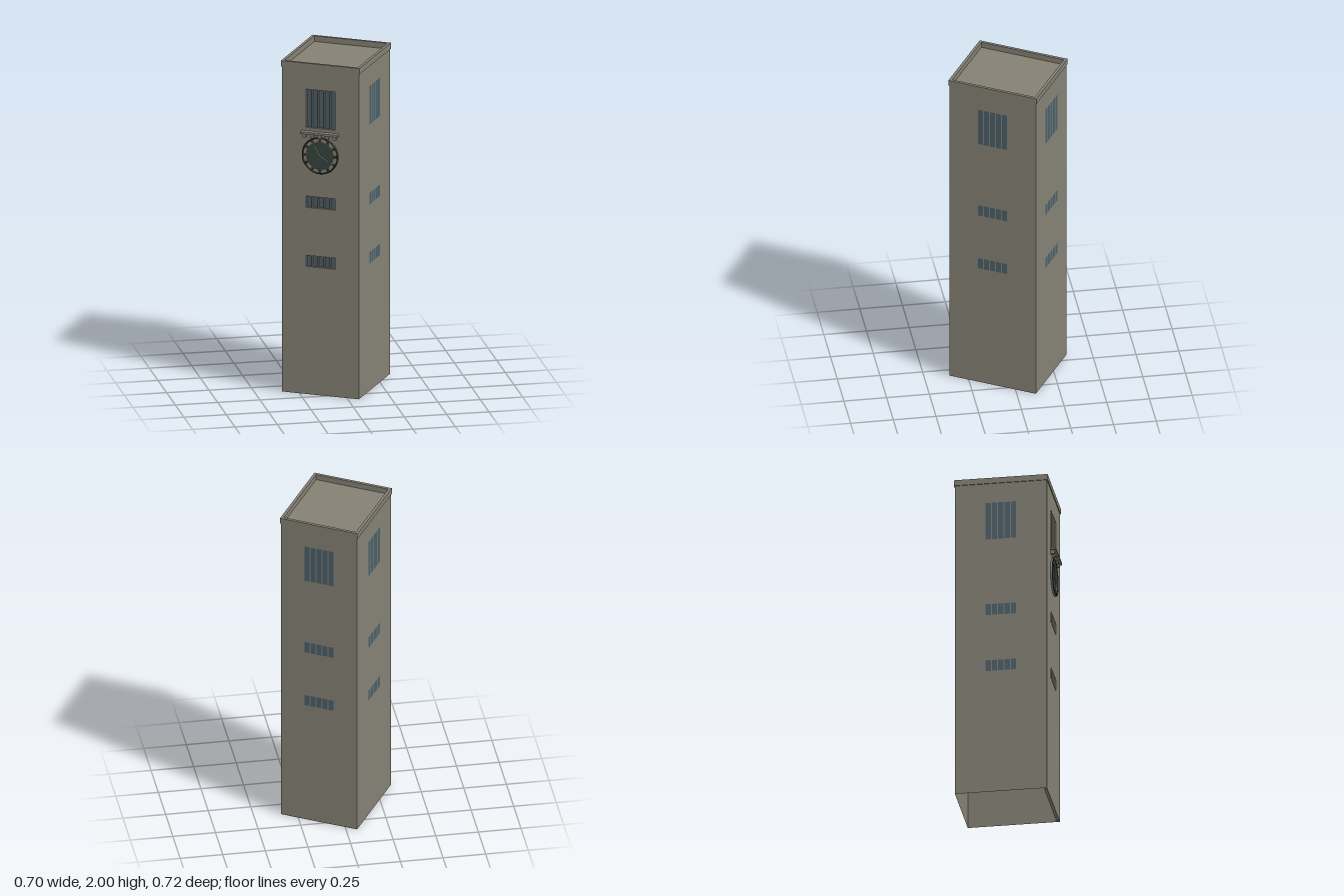
import * as THREE from 'three';

const W = 0.472, D = 0.539, H = 1.965; // tower body
const ROWS = [[1.61, 1.842], [1.127, 1.196], [0.77, 0.838]]; // window bands, bottom and top
const SLIT = 0.031, PITCH = 0.0373;

const stone = new THREE.MeshStandardMaterial({ name: 'stone', color: 0x858174, side: THREE.DoubleSide });
const glass = new THREE.MeshStandardMaterial({ name: 'blueGlass', color: 0x4a6069, side: THREE.DoubleSide });
const dialGreen = new THREE.MeshStandardMaterial({ name: 'dialGreen', color: 0x35443f });
const dark = new THREE.MeshStandardMaterial({ name: 'darkMetal', color: 0x33322d });

function add(parent, name, geometry, material, x = 0, y = 0, z = 0) {
  const mesh = new THREE.Mesh(geometry, material);
  mesh.name = name;
  mesh.position.set(x, y, z);
  parent.add(mesh);
  return mesh;
}

const box = (w, h, d) => new THREE.BoxGeometry(w, h, d);

function rectangle(Kind, x0, y0, x1, y1) {
  const r = new Kind();
  r.moveTo(x0, y0).lineTo(x1, y0).lineTo(x1, y1).lineTo(x0, y1).closePath();
  return r;
}

// Calls fn for each of the five slits in each band
function eachSlit(fn) {
  for (const [y0, y1] of ROWS)
    for (let i = -2; i <= 2; i++) fn(i * PITCH, y0, y1);
}

function addWindows(wall, z) {
  eachSlit((x, y0, y1) =>
    add(wall, 'windowSlit', new THREE.PlaneGeometry(SLIT, y1 - y0), glass, x, (y0 + y1) / 2, z));
}

// Wall with flush windows; the group faces its local +z
function plainWall(name, width, distance, angle) {
  const wall = new THREE.Group();
  wall.name = name;
  wall.rotation.y = angle;
  add(wall, 'wallFace', new THREE.PlaneGeometry(width, H), stone, 0, H / 2, distance);
  addWindows(wall, distance + 0.002);
  return wall;
}

// Front wall with recessed windows
function frontWall() {
  const depth = 0.018;
  const wall = new THREE.Group();
  wall.name = 'frontWall';
  const shape = rectangle(THREE.Shape, -W / 2, 0, W / 2, H);
  eachSlit((x, y0, y1) =>
    shape.holes.push(rectangle(THREE.Path, x - SLIT / 2, y0, x + SLIT / 2, y1)));
  add(wall, 'wallFace', new THREE.ExtrudeGeometry(shape, { depth, bevelEnabled: false }),
    stone, 0, 0, D / 2 - depth);
  addWindows(wall, D / 2 - depth + 0.001);
  return wall;
}

function clock() {
  const g = new THREE.Group();
  g.name = 'clock';
  g.position.set(0, 1.45, D / 2);
  // Stone bezel ring
  const ring = new THREE.Shape().absarc(0, 0, 0.11, 0, Math.PI * 2);
  ring.holes.push(new THREE.Path().absarc(0, 0, 0.084, 0, Math.PI * 2, true));
  add(g, 'bezel', new THREE.ExtrudeGeometry(ring, { depth: 0.01, bevelEnabled: false, curveSegments: 24 }), stone);
  add(g, 'bezelEdge', new THREE.TorusGeometry(0.107, 0.004, 6, 48), dark, 0, 0, 0.01);
  add(g, 'dial', new THREE.CircleGeometry(0.085, 48), dialGreen, 0, 0, 0.004);
  // Hour marks
  for (let i = 0; i < 12; i++) {
    const a = i * Math.PI / 6;
    const mark = add(g, 'hourMark', box(0.016, i % 3 ? 0.014 : 0.02, 0.004), dark,
      Math.sin(a) * 0.094, Math.cos(a) * 0.094, 0.01);
    mark.rotation.z = -a;
  }
  // Hands, each turning about the centre
  for (const [name, length, angle] of [['minuteHand', 0.075, 0.5], ['hourHand', 0.06, -2.1]]) {
    const hand = new THREE.Group();
    hand.name = name;
    hand.rotation.z = angle;
    add(hand, 'handBar', box(0.005, length, 0.003), stone, 0, length / 2, 0.008);
    g.add(hand);
  }
  return g;
}

// Ledge on small brackets above the clock
function canopy() {
  const g = new THREE.Group();
  g.name = 'clockCanopy';
  add(g, 'ledge', box(0.227, 0.013, 0.033), stone, 0, 1.585, D / 2 + 0.0165);
  for (let i = -2; i <= 2; i++)
    add(g, 'bracket', box(0.02, 0.022, 0.024), stone, i * 0.046, 1.5675, D / 2 + 0.012);
  return g;
}

// Parapet band around the roof
function parapet() {
  const w = W / 2 + 0.005, d = D / 2 + 0.005, t = 0.017;
  const shape = rectangle(THREE.Shape, -w, -d, w, d);
  shape.holes.push(rectangle(THREE.Path, -w + t, -d + t, w - t, d - t));
  const geo = new THREE.ExtrudeGeometry(shape, { depth: 2 - H, bevelEnabled: false });
  geo.rotateX(-Math.PI / 2);
  return geo;
}

export function createModel() {
  const model = new THREE.Group();
  model.name = 'clockTower';
  const tower = new THREE.Group();
  tower.name = 'tower';
  tower.rotation.y = -0.541; // the tower stands turned on its site
  model.add(tower);

  tower.add(frontWall());
  tower.add(plainWall('leftWall', D, W / 2, Math.PI / 2));
  tower.add(plainWall('rightWall', D, W / 2, -Math.PI / 2));
  tower.add(plainWall('backWall', W, D / 2, Math.PI));

  const roof = new THREE.PlaneGeometry(W, D);
  roof.rotateX(-Math.PI / 2);
  add(tower, 'roof', roof, stone, 0, H + 0.001, 0);
  add(tower, 'parapet', parapet(), stone, 0, H, 0);
  tower.add(clock(), canopy());
  return model;
}
